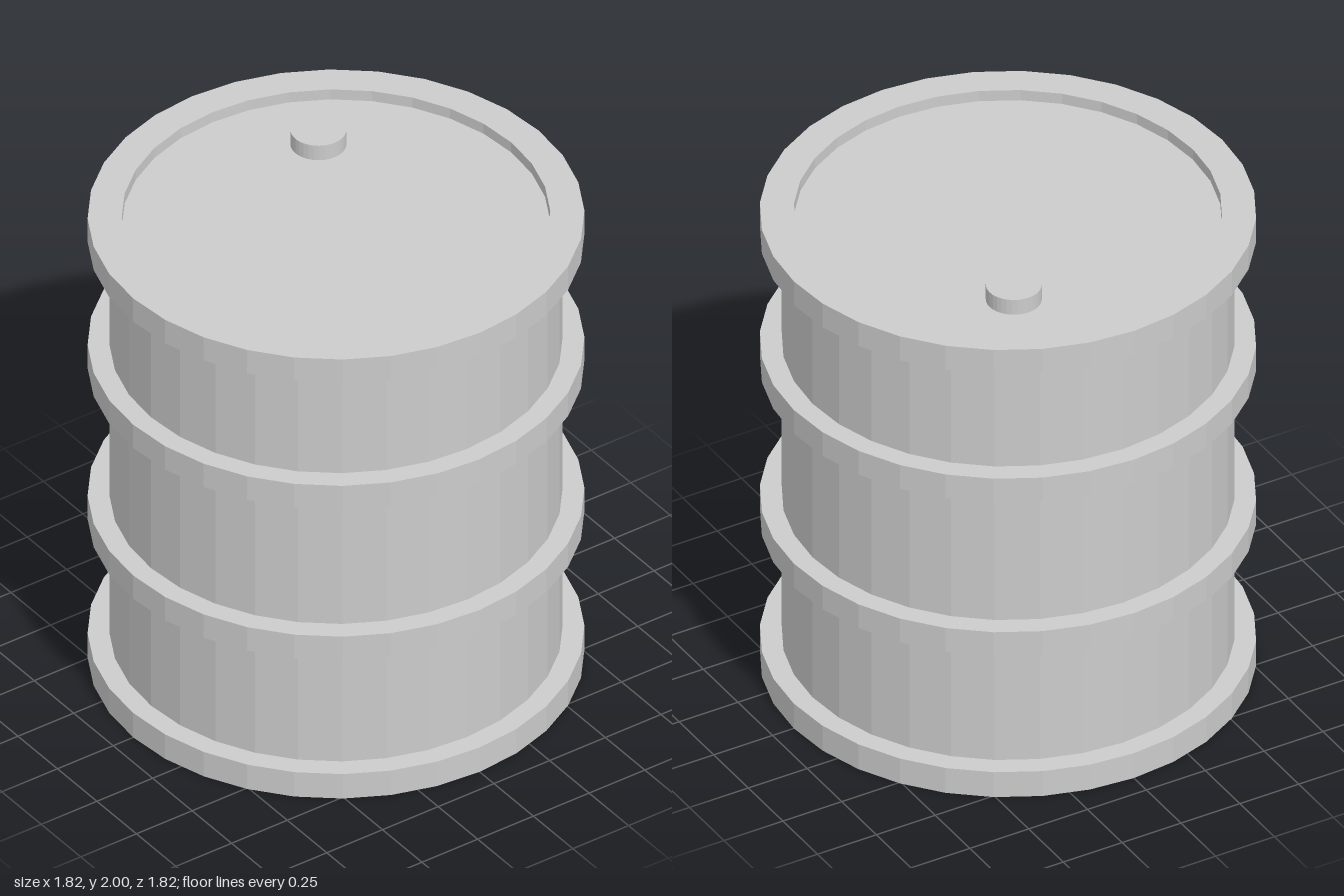
import * as THREE from 'three';

const SIDES = 32;
const BODY_R = 0.83, HOOP_R = 0.91, LID_R = 0.785;
const LID_Y = 1.935;

const material = new THREE.MeshStandardMaterial({ color: 0xcccccc, flatShading: true });

// Revolve [radius, height] pairs, listed from the bottom up the outside
function lathe(name, pairs) {
  const points = pairs.map(([r, y]) => new THREE.Vector2(r, y));
  const mesh = new THREE.Mesh(new THREE.LatheGeometry(points, SIDES), material);
  mesh.name = name;
  return mesh;
}

export function createModel() {
  const drum = new THREE.Group();
  drum.name = 'drum';

  // Bottom rim with closed base
  drum.add(lathe('bottomRim', [[0, 0], [HOOP_R, 0], [HOOP_R, 0.11], [BODY_R, 0.11]]));

  // Straight wall sections between the hoops
  for (const [low, high] of [[0.11, 0.625], [0.73, 1.305], [1.41, 1.875]]) {
    drum.add(lathe('wall', [[BODY_R, low], [BODY_R, high]]));
  }

  // Two rolling hoops
  for (const [low, high] of [[0.625, 0.73], [1.305, 1.41]]) {
    drum.add(lathe('hoop', [[BODY_R, low], [HOOP_R, low], [HOOP_R, high], [BODY_R, high]]));
  }

  // Top rim, stepping down to the lid
  drum.add(lathe('topRim', [
    [BODY_R, 1.875], [HOOP_R, 1.875], [HOOP_R, 1.98], [LID_R, 1.98], [LID_R, LID_Y],
  ]));

  // Recessed lid
  drum.add(lathe('lid', [[LID_R, LID_Y], [0, LID_Y]]));

  // Filler cap, off centre towards the back
  const cap = lathe('fillerCap', [[0.103, LID_Y], [0.103, 2], [0, 2]]);
  cap.position.set(0.24, 0, -0.45);
  drum.add(cap);

  return drum;
}
